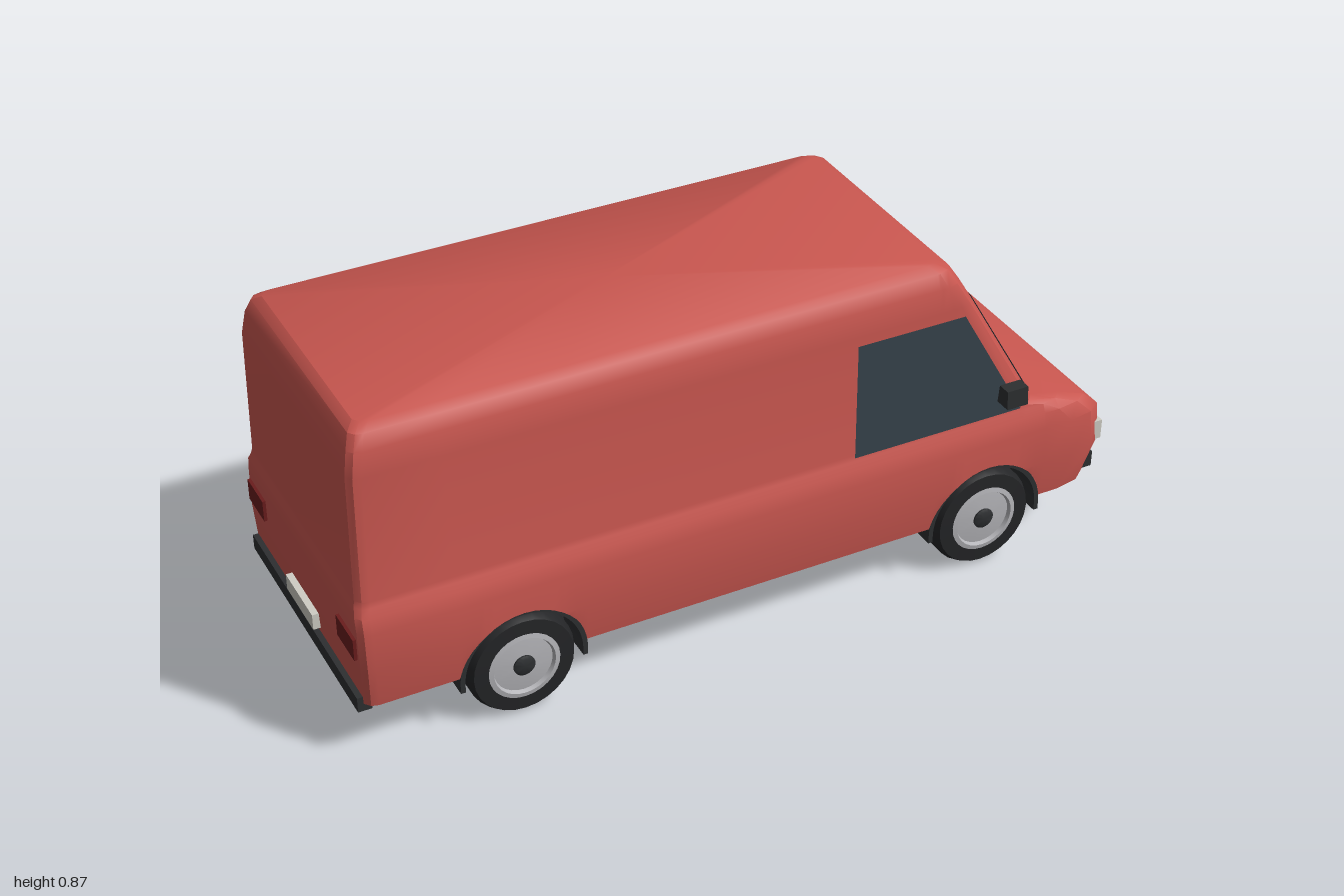
import * as THREE from 'three';
import { toCreasedNormals } from 'three/addons/utils/BufferGeometryUtils.js';

const mat = (color) => new THREE.MeshStandardMaterial({ color, side: THREE.DoubleSide });
const paint = mat(0xc8564f), dark = mat(0x2d2f31), glass = mat(0x36434c);
const lamp = mat(0xcfcdc4), tail = mat(0x6a1d1d), rimMetal = mat(0xb4b4b8), tyreMat = mat(0x242527);

const AXLES = [-0.595, 0.65], AXLE_Y = 0.135, ARCH_R = 0.16, FLOOR = 0.113;

// Horizontal body sections: y, back x, front x, half width, front corner length, front corner width
const LEVELS = [
  [0.113, -0.975, 0.88, 0.29, 0.06, 0.04],
  [0.155, -0.98, 0.965, 0.365, 0.1, 0.04],
  [0.26, -0.985, 0.99, 0.378, 0.1, 0.035],
  [0.36, -0.985, 0.985, 0.372, 0.1, 0.035],
  [0.40, -0.985, 0.94, 0.365, 0.09, 0.03],
  [0.42, -0.98, 0.87, 0.354, 0.06, 0.03],
  [0.435, -0.977, 0.79, 0.35, 0.045, 0.03],
  [0.76, -0.972, 0.602, 0.345, 0.045, 0.033],
  [0.82, -0.962, 0.567, 0.337, 0.045, 0.033],
  [0.855, -0.95, 0.545, 0.322, 0.04, 0.03],
  [0.87, -0.93, 0.515, 0.30, 0.03, 0.02],
];

function halfWidthAt(y) {
  for (let i = 1; i < LEVELS.length; i++) {
    const a = LEVELS[i - 1], b = LEVELS[i];
    if (y <= b[0]) return THREE.MathUtils.lerp(a[3], b[3], (y - a[0]) / (b[0] - a[0]));
  }
  return 0.3;
}

// Columns along the side; each has the lowest height allowed by the wheel arch
const COLUMNS = [];
for (const cx of AXLES) {
  COLUMNS.push([cx - ARCH_R, 0]);
  for (let i = 0; i <= 20; i++) {
    const t = Math.PI * (1 - i / 20);
    COLUMNS.push([cx + ARCH_R * Math.cos(t), AXLE_Y + ARCH_R * Math.sin(t)]);
  }
  COLUMNS.push([cx + ARCH_R, 0]);
}

function bodyRing([y, xb, xf, hw, cx, cz], cutArches) {
  const side = [[xb, y, hw - 0.02], [xb + 0.012, y, hw - 0.005], [xb + 0.03, y, hw]];
  for (const [x, low] of COLUMNS) {
    const py = cutArches ? Math.max(y, low) : y;
    side.push([Math.min(x, xf - cx), py, py > y ? halfWidthAt(py) : hw]);
  }
  side.push([xf - cx, y, hw], [xf - cx * 0.35, y, hw - cz * 0.3], [xf, y, hw - cz]);
  const all = [...side, ...side.map(([x, py, z]) => [x, py, -z]).reverse()];
  return all.map((p) => new THREE.Vector3(...p));
}

function bodyGeometry() {
  const rings = LEVELS.map((l) => bodyRing(l, true)), pos = [];
  const tri = (a, b, c) => {
    const area = b.clone().sub(a).cross(c.clone().sub(a)).length();
    if (area > 1e-8) for (const p of [a, b, c]) pos.push(p.x, p.y, p.z);
  };
  const n = rings[0].length;
  for (let j = 0; j + 1 < rings.length; j++) {
    for (let i = 0; i < n; i++) {
      const k = (i + 1) % n;
      tri(rings[j][i], rings[j][k], rings[j + 1][k]);
      tri(rings[j][i], rings[j + 1][k], rings[j + 1][i]);
    }
  }
  // Roof and floor
  const top = rings[rings.length - 1], bottom = bodyRing(LEVELS[0], false);
  const topMid = new THREE.Vector3(-0.2, 0.87, 0), lowMid = new THREE.Vector3(0, FLOOR, 0);
  for (let i = 0; i < n; i++) {
    const k = (i + 1) % n;
    tri(topMid, top[i], top[k]);
    tri(lowMid, bottom[k], bottom[i]);
  }
  const g = new THREE.BufferGeometry();
  g.setAttribute('position', new THREE.Float32BufferAttribute(pos, 3));
  return toCreasedNormals(g, 0.6);
}

// Flat four-cornered pane
function paneGeometry(corners) {
  const g = new THREE.BufferGeometry();
  g.setAttribute('position', new THREE.Float32BufferAttribute(corners.flat(), 3));
  g.setIndex([0, 1, 2, 0, 2, 3]);
  g.computeVertexNormals();
  return g;
}

// Outline of a wheel arch with straight legs down to the floor
function archOutline(r) {
  const s = new THREE.Shape();
  s.moveTo(r, FLOOR - AXLE_Y);
  s.lineTo(r, 0);
  s.absarc(0, 0, r, 0, Math.PI, false);
  s.lineTo(-r, FLOOR - AXLE_Y);
  return s;
}

function lathe(profile) {
  const g = new THREE.LatheGeometry(profile.map((p) => new THREE.Vector2(...p)), 28);
  g.rotateX(Math.PI / 2);
  return toCreasedNormals(g, 0.6);
}

export function createModel() {
  const root = new THREE.Group();
  root.name = 'van';
  const add = (name, geometry, material, parent = root) => {
    const m = new THREE.Mesh(geometry, material);
    m.name = name;
    parent.add(m);
    return m;
  };
  // Box given by its limits on each axis
  const block = (name, material, [x0, x1], [y0, y1], [z0, z1]) => {
    const m = add(name, new THREE.BoxGeometry(x1 - x0, y1 - y0, Math.abs(z1 - z0)), material);
    m.position.set((x0 + x1) / 2, (y0 + y1) / 2, (z0 + z1) / 2);
    return m;
  };

  add('body', bodyGeometry(), paint);

  // Windows
  add('windscreen', paneGeometry([
    [0.794, 0.437, 0.313], [0.794, 0.437, -0.313], [0.607, 0.76, -0.302], [0.607, 0.76, 0.302],
  ]), glass);
  for (const s of [1, -1]) {
    const c = [[0.275, 0.43, s * 0.356], [0.74, 0.43, s * 0.356], [0.565, 0.738, s * 0.35], [0.275, 0.738, s * 0.35]];
    add('sideWindow', paneGeometry(s > 0 ? c : c.reverse()), glass);
  }

  // Front and rear fittings
  block('grille', dark, [0.95, 0.993], [0.213, 0.273], [-0.19, 0.19]);
  block('frontBumper', dark, [0.93, 0.995], [0.16, 0.203], [-0.325, 0.325]);
  block('frontPlate', lamp, [0.98, 1.0], [0.165, 0.205], [-0.087, 0.087]);
  block('rearBumper', dark, [-0.995, -0.96], [0.135, 0.175], [-0.345, 0.345]);
  block('rearPlate', lamp, [-1.0, -0.97], [0.19, 0.232], [-0.087, 0.087]);
  for (const s of [1, -1]) {
    block('headlight', lamp, [0.94, 0.996], [0.26, 0.313], [s * 0.215, s * 0.35]);
    block('tailLight', tail, [-0.993, -0.96], [0.283, 0.34], [s * 0.24, s * 0.345]);
    // Mirror, narrower at the top
    const g = new THREE.BoxGeometry(0.058, 0.048, 0.044);
    const p = g.attributes.position;
    for (let i = 0; i < p.count; i++) if (p.getY(i) > 0) p.setZ(i, p.getZ(i) * 0.78);
    add('mirror', g, dark).position.set(0.69, 0.506, s * 0.391);
    block('mirrorArm', dark, [0.682, 0.698], [0.488, 0.496], [s * 0.34, s * 0.375]);
  }

  // Wheel wells and wheels
  const ring = archOutline(ARCH_R);
  ring.holes.push(new THREE.Path(archOutline(0.15).getPoints(12)));
  const linerShape = new THREE.Shape();
  linerShape.moveTo(ARCH_R, FLOOR - AXLE_Y);
  linerShape.lineTo(ARCH_R, 0);
  linerShape.absarc(0, 0, ARCH_R, 0, Math.PI, false);
  linerShape.lineTo(-ARCH_R, FLOOR - AXLE_Y);
  linerShape.lineTo(-0.148, FLOOR - AXLE_Y);
  linerShape.lineTo(-0.148, 0);
  linerShape.absarc(0, 0, 0.148, Math.PI, 0, true);
  linerShape.lineTo(0.148, FLOOR - AXLE_Y);
  const liner = new THREE.ExtrudeGeometry(linerShape, { depth: 0.105, bevelEnabled: false, curveSegments: 20 });
  const wellBack = new THREE.ShapeGeometry(archOutline(ARCH_R), 20);
  const tyre = lathe([[0.08, 0.275], [0.125, 0.275], [0.135, 0.287], [0.135, 0.345], [0.126, 0.364], [0.09, 0.366], [0.086, 0.355]]);
  const rim = lathe([[0.09, 0.35], [0.09, 0.366], [0.078, 0.368], [0.074, 0.358], [0.035, 0.362], [0, 0.362]]);
  const hub = lathe([[0.027, 0.355], [0.027, 0.366], [0.02, 0.37], [0, 0.37]]);
  const innerDisc = lathe([[0, 0.285], [0.09, 0.285]]);
  for (const x of AXLES) {
    for (const s of [1, -1]) {
      const corner = new THREE.Group();
      corner.name = (x > 0 ? 'front' : 'rear') + (s > 0 ? 'Left' : 'Right') + 'Wheel';
      corner.position.set(x, AXLE_Y, 0);
      corner.rotation.y = s > 0 ? 0 : Math.PI;
      root.add(corner);
      add('wheelWell', liner, dark, corner).position.z = 0.262;
      add('wheelWellBack', wellBack, dark, corner).position.z = 0.262;
      add('tyre', tyre, tyreMat, corner);
      add('rim', rim, rimMetal, corner);
      add('hub', hub, dark, corner);
      add('innerDisc', innerDisc, dark, corner);
    }
  }
  return root;
}
